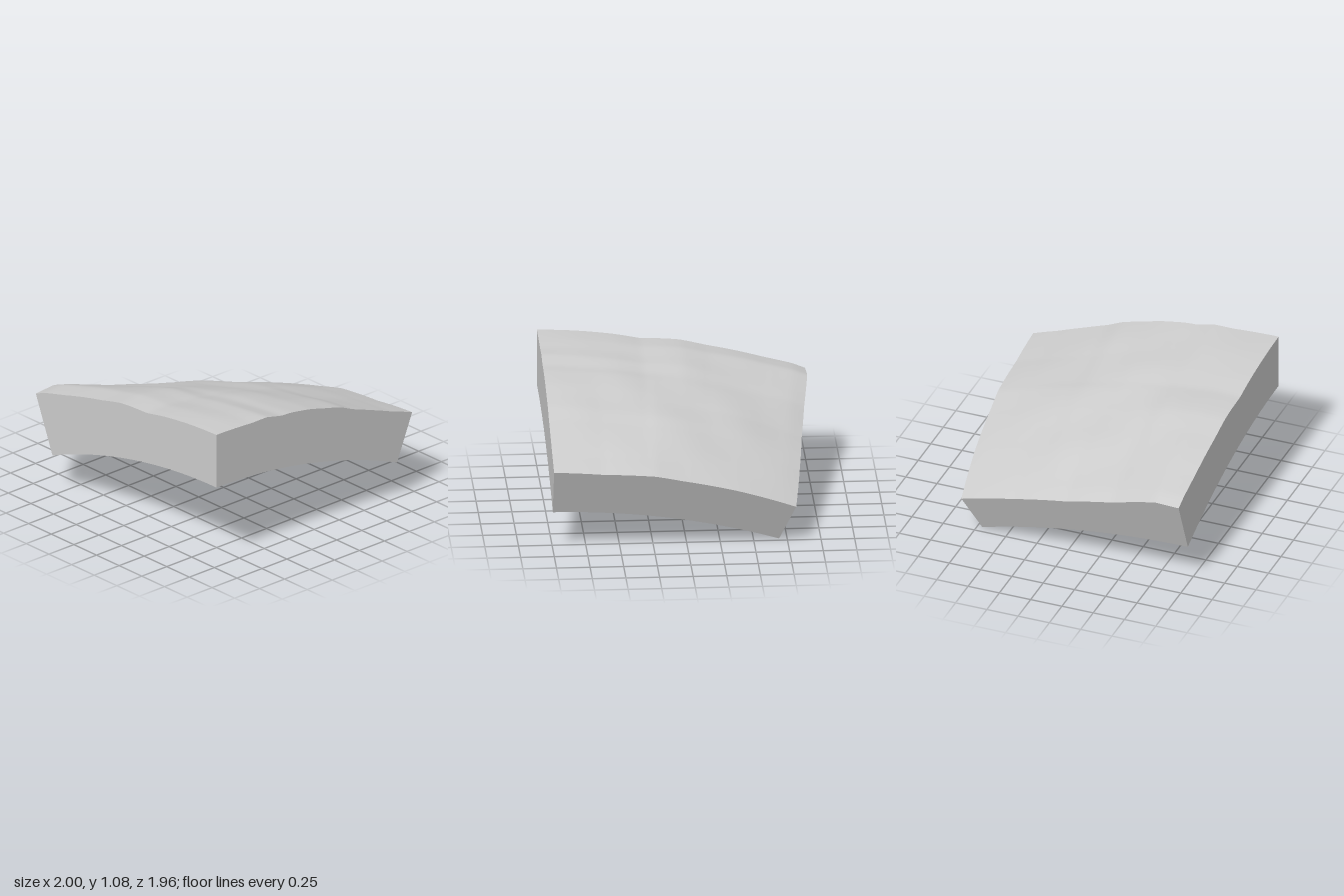
import * as THREE from 'three';

// Centre of curvature, inner radius and angular span of the shell piece
const CENTRE = new THREE.Vector3(1, -4.08, 0.98);
const INNER = 4.73;
const SPAN = Math.PI / 8;

// Outer radius along the four edges, as [fraction, radius] pairs
const FRONT = [[0, 5.16], [0.141, 5.154], [0.283, 5.145], [0.381, 5.133], [0.477, 5.158], [0.526, 5.168],
  [0.628, 5.166], [0.731, 5.177], [0.837, 5.187], [0.891, 5.197], [0.946, 5.209], [1, 5.209]];
const RIGHT = [[0, 5.16], [0.178, 5.159], [0.249, 5.172], [0.321, 5.155], [0.368, 5.164], [0.467, 5.164],
  [0.542, 5.155], [0.619, 5.152], [0.685, 5.13], [0.783, 5.12], [0.896, 5.115], [1, 5.125]];
const LEFT = [[0, 5.209], [0.1, 5.225], [0.3, 5.128], [0.514, 5.073], [0.75, 5.062], [1, 5.065]];
const BACK = [[0, 5.125], [0.2, 5.107], [0.41, 5.12], [0.52, 5.104], [0.75, 5.09], [1, 5.065]];

function sample(table, t) {
  let i = 0;
  while (i < table.length - 2 && t > table[i + 1][0]) i++;
  const [t0, r0] = table[i], [t1, r1] = table[i + 1];
  return r0 + (r1 - r0) * (t - t0) / (t1 - t0);
}

// Terrain radius: edge profiles blended across the patch, plus soft ridges inside
function outerRadius(u, v) {
  const edges = (1 - v) * sample(FRONT, u) + v * sample(BACK, u)
    + (1 - u) * sample(RIGHT, v) + u * sample(LEFT, v);
  const corners = (1 - u) * (1 - v) * 5.16 + u * (1 - v) * 5.209 + (1 - u) * v * 5.125 + u * v * 5.065;
  const inside = 16 * u * (1 - u) * v * (1 - v);
  const ridges = 0.008 * Math.sin(9 * u + 13 * v) + 0.005 * Math.sin(17 * u - 11 * v + 1);
  return edges - corners + inside * ridges;
}

// Point on the patch; u runs towards -x, v towards -z, t from inner (0) to outer (1)
function shellPoint(u, v, t) {
  const r = INNER + (outerRadius(u, v) - INNER) * t;
  return new THREE.Vector3(-Math.tan(u * SPAN), 1, -Math.tan(v * SPAN)).setLength(r).add(CENTRE);
}

// Regular grid surface from a point rule
function gridSurface(rule, nu, nv, flip) {
  const positions = [], index = [];
  for (let j = 0; j <= nv; j++) {
    for (let i = 0; i <= nu; i++) positions.push(...rule(i / nu, j / nv).toArray());
  }
  for (let j = 0; j < nv; j++) {
    for (let i = 0; i < nu; i++) {
      const a = j * (nu + 1) + i, b = a + 1, c = a + nu + 1, d = c + 1;
      if (flip) index.push(a, c, b, b, c, d);
      else index.push(a, b, c, b, d, c);
    }
  }
  const geometry = new THREE.BufferGeometry();
  geometry.setAttribute('position', new THREE.Float32BufferAttribute(positions, 3));
  geometry.setIndex(index);
  geometry.computeVertexNormals();
  return geometry;
}

export function createModel() {
  const group = new THREE.Group();
  group.name = 'curvedTerrainBlock';
  const stone = new THREE.MeshStandardMaterial({ color: 0xcccccc });
  stone.name = 'lightGrey';

  const add = (name, geometry) => {
    const mesh = new THREE.Mesh(geometry, stone);
    mesh.name = name;
    group.add(mesh);
  };

  // Rolling upper surface
  add('terrainTop', gridSurface((u, v) => shellPoint(u, v, 1), 64, 64, true));

  // Faceted underside
  const underside = gridSurface((u, v) => shellPoint(u, v, 0), 16, 16, false).toNonIndexed();
  underside.computeVertexNormals();
  add('underside', underside);

  // Four cut walls
  add('frontWall', gridSurface((u, t) => shellPoint(u, 0, t), 64, 1, true));
  add('backWall', gridSurface((u, t) => shellPoint(u, 1, t), 64, 1, false));
  add('leftWall', gridSurface((v, t) => shellPoint(0, v, t), 64, 1, false));
  add('rightWall', gridSurface((v, t) => shellPoint(1, v, t), 64, 1, true));

  return group;
}
